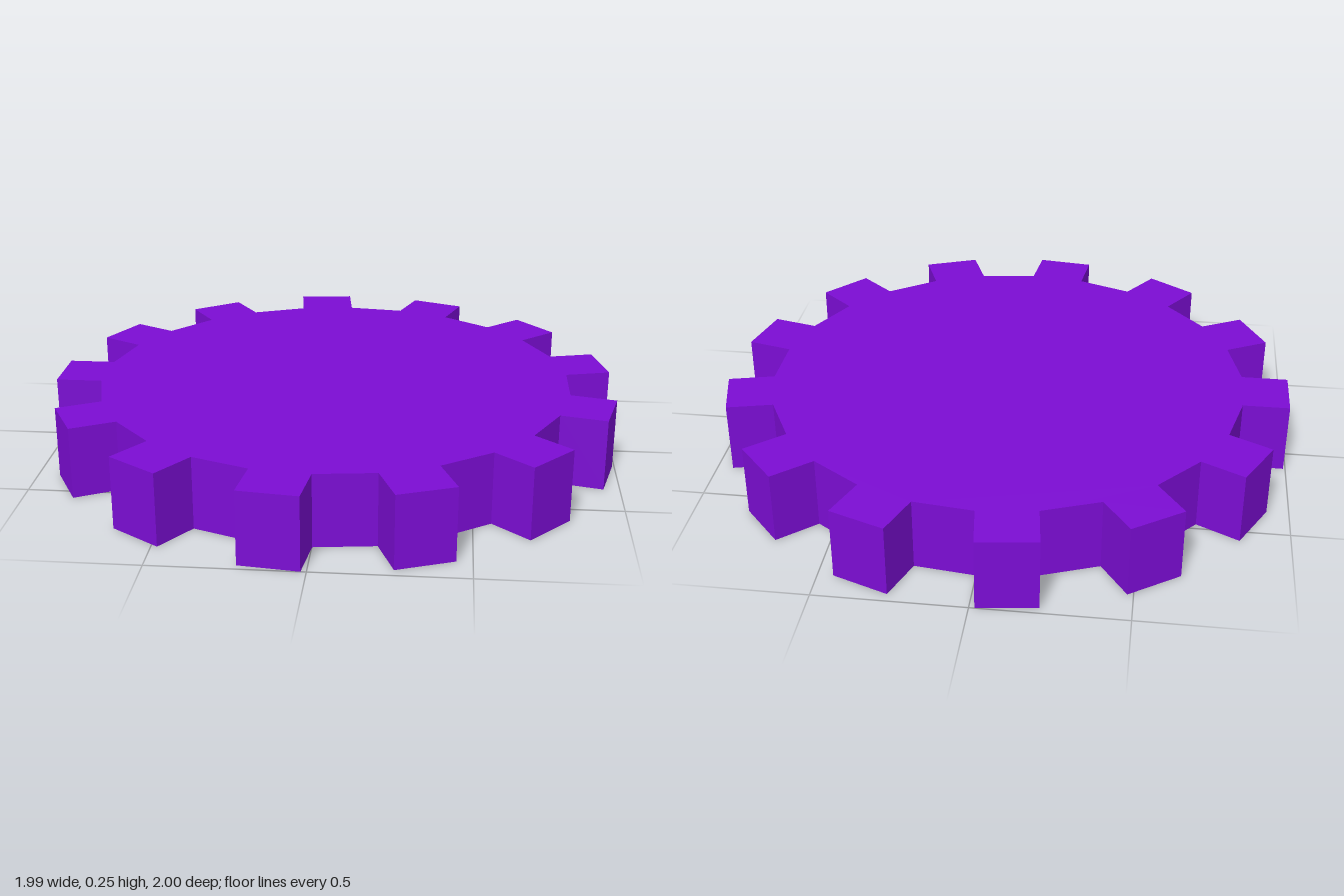
import * as THREE from 'three';

const TEETH = 13;
const ROOT = 0.833;      // distance from the centre to the base of a tooth
const TIP = 0.995;       // distance from the centre to the flat tip
const HALF_WIDTH = 0.1;  // half the width of a tooth
const THICKNESS = 0.25;

// Outline: each tooth is a straight-sided block, joined by flat valleys
function gearShape() {
  const corners = [[ROOT, -HALF_WIDTH], [TIP, -HALF_WIDTH], [TIP, HALF_WIDTH], [ROOT, HALF_WIDTH]];
  const points = [];
  for (let i = 0; i < TEETH; i++) {
    const angle = Math.PI + (i / TEETH) * Math.PI * 2;
    for (const [x, y] of corners) {
      points.push(new THREE.Vector2(x, y).rotateAround(new THREE.Vector2(), angle));
    }
  }
  return new THREE.Shape(points);
}

export function createModel() {
  const group = new THREE.Group();
  group.name = 'gear';

  // Solid toothed disc lying flat on the ground
  const geometry = new THREE.ExtrudeGeometry(gearShape(), { depth: THICKNESS, bevelEnabled: false });
  geometry.rotateX(-Math.PI / 2);
  geometry.computeBoundingBox();
  const center = geometry.boundingBox.getCenter(new THREE.Vector3());
  geometry.translate(-center.x, 0, -center.z);

  const material = new THREE.MeshStandardMaterial({ color: 0x7b0dd3 });
  const disc = new THREE.Mesh(geometry, material);
  disc.name = 'toothedDisc';
  group.add(disc);
  return group;
}
